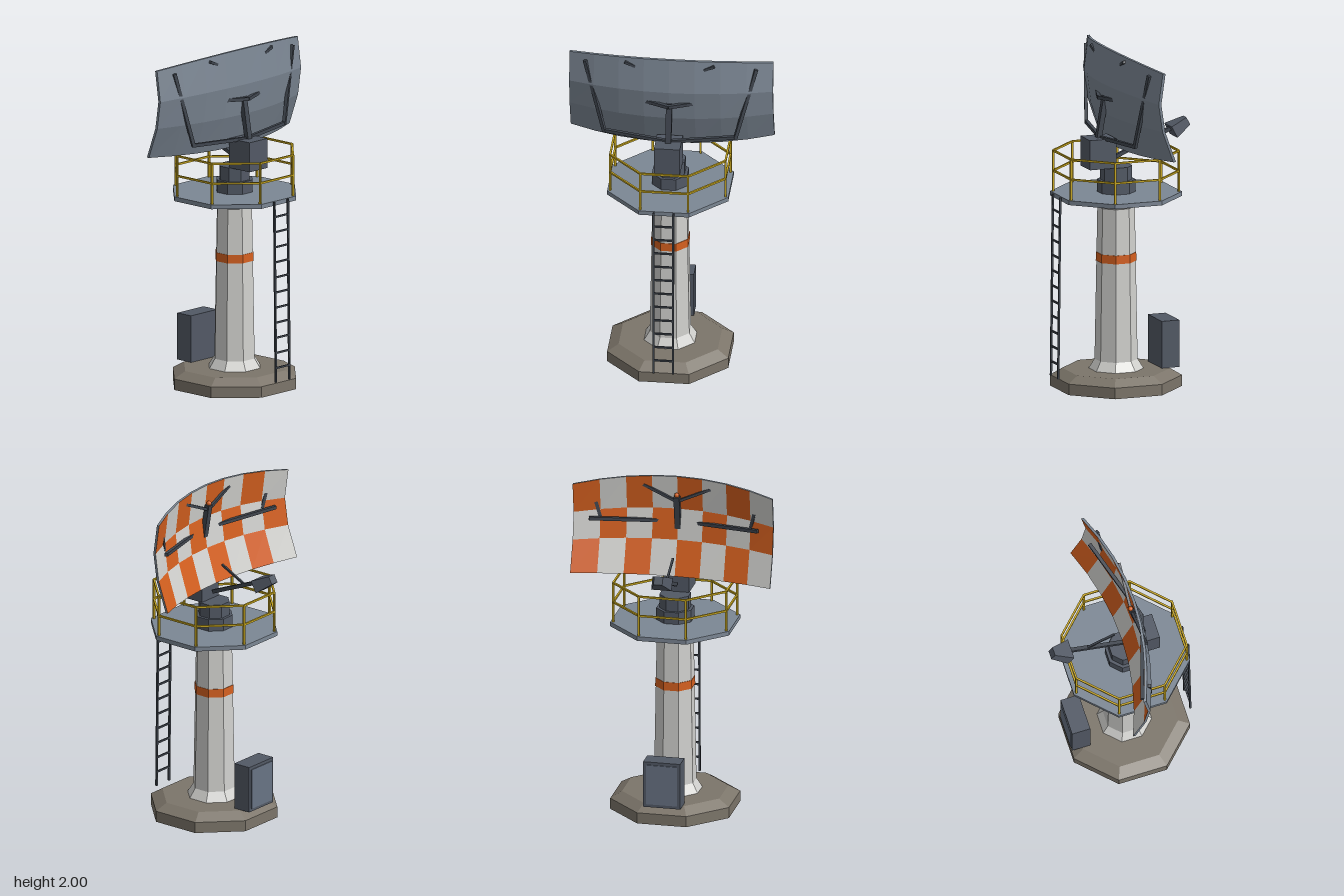
import * as THREE from 'three';

const mat = (name, color) => {
  const m = new THREE.MeshStandardMaterial({ color });
  m.name = name;
  return m;
};

export function createModel() {
  const model = new THREE.Group();
  model.name = 'radarTower';
  const concrete = mat('concrete', 0x7c756a);
  const white = mat('white paint', 0xd2d2cf);
  const orange = mat('orange paint', 0xd5601f);
  const steel = mat('blue grey steel', 0x7c8794);
  const housing = mat('dark housing', 0x525965);
  const frame = mat('dark frame', 0x40464f);
  const yellow = mat('yellow railing', 0xc9a81f);
  const panel = mat('cabinet panel', 0x687384);
  const AXIS = 0.03; // z of the tower axis
  const V = (x, y, z) => new THREE.Vector3(x, y, z);

  const add = (name, geo, material, parent = model) => {
    const mesh = new THREE.Mesh(geo, material);
    mesh.name = name;
    parent.add(mesh);
    return mesh;
  };
  const group = (name) => {
    const g = new THREE.Group();
    g.name = name;
    model.add(g);
    return g;
  };

  // Octagonal frustum, given by its half-widths across flats
  const octagon = (name, y0, y1, r0, r1, material) => {
    const k = 1 / Math.cos(Math.PI / 8);
    const geo = new THREE.CylinderGeometry(r1 * k, r0 * k, y1 - y0, 8).rotateY(Math.PI / 8).toNonIndexed();
    geo.computeVertexNormals();
    add(name, geo, material).position.set(0, (y0 + y1) / 2, AXIS);
  };

  // Square bar between two points
  const bar = (name, a, b, w, material, parent, h = w) => {
    const mesh = add(name, new THREE.BoxGeometry(w, h, a.distanceTo(b)), material, parent);
    mesh.position.copy(a).add(b).multiplyScalar(0.5);
    mesh.lookAt(b);
    return mesh;
  };

  const box = (name, w, h, d, x, y, z, material) =>
    add(name, new THREE.BoxGeometry(w, h, d), material).position.set(x, y, z);

  // Foundation, tower, deck and pedestal
  octagon('foundation', 0, 0.065, 0.352, 0.352, concrete);
  octagon('foundationBevel', 0.065, 0.105, 0.352, 0.288, concrete);
  octagon('towerFoot', 0.105, 0.16, 0.147, 0.115, white);
  octagon('towerShaft', 0.16, 1.06, 0.115, 0.1, white);
  octagon('towerBand', 0.74, 0.79, 0.1085, 0.1075, orange);
  octagon('towerHead', 1.06, 1.125, 0.1, 0.15, white);
  octagon('deck', 1.122, 1.148, 0.352, 0.352, steel);
  octagon('pedestalLower', 1.148, 1.22, 0.103, 0.103, housing);
  octagon('pedestalUpper', 1.22, 1.302, 0.086, 0.086, housing);
  box('driveHousing', 0.15, 0.175, 0.163, 0, 1.388, 0.14, housing);

  // Railing around the deck
  const railing = group('railing');
  const corner = (i, y) => {
    const a = (i + 0.5) * Math.PI / 4, r = 0.335 / Math.cos(Math.PI / 8);
    return V(r * Math.sin(a), y, AXIS + r * Math.cos(a));
  };
  for (let i = 0; i < 8; i++) {
    bar('railPost', corner(i, 1.148), corner(i, 1.39), 0.012, yellow, railing);
    for (const y of [1.27, 1.388]) bar('rail', corner(i, y), corner(i + 1, y), 0.011, yellow, railing);
  }

  // Ladder
  const ladder = group('ladder');
  for (const s of [-1, 1]) bar('ladderRail', V(s * 0.057, 0.08, 0.412), V(s * 0.057, 1.15, 0.4), 0.011, frame, ladder);
  for (let i = 0; i < 11; i++) {
    const y = 0.165 + i * 0.0895, z = 0.412 - (y - 0.08) * 0.0112;
    bar('rung', V(-0.057, y, z), V(0.057, y, z), 0.01, frame, ladder);
  }

  // Equipment cabinet
  box('cabinet', 0.22, 0.277, 0.11, 0, 0.2435, -0.266, housing);
  box('cabinetPanel', 0.185, 0.24, 0.006, 0, 0.2435, -0.323, panel);

  // Curved reflector: rows of [centre y, centre z, rise of y at the ends]
  const rows = [[2.0, 0.08, -0.05], [1.795, 0.106, -0.025], [1.612, 0.082, -0.004], [1.41, 0.015, 0.015]];
  const COLS = 8, HALF = 0.592, T = 0.016;
  const point = (i, j, off) => {
    const u = (i / COLS) * 2 - 1, [y, z, rise] = rows[j];
    return V(u * HALF, y + rise * u * u, z + off - 0.122 * u * u);
  };
  const buckets = [[], [], []]; // steel, orange, white
  const quad = (k, a, b, c, d) => {
    for (const p of [a, b, c, a, c, d]) buckets[k].push(p.x, p.y, p.z);
  };
  for (let j = 0; j < 3; j++) {
    for (let i = 0; i < COLS; i++) {
      const f = (off) => [point(i, j, off), point(i + 1, j, off), point(i + 1, j + 1, off), point(i, j + 1, off)];
      quad((i + j) % 2 ? 1 : 2, ...f(0));
      quad(0, ...f(T).reverse());
    }
    const end = (i) => [point(i, j, 0), point(i, j + 1, 0), point(i, j + 1, T), point(i, j, T)];
    quad(0, ...end(0));
    quad(0, ...end(COLS).reverse());
  }
  for (let i = 0; i < COLS; i++) {
    const edge = (j) => [point(i + 1, j, 0), point(i, j, 0), point(i, j, T), point(i + 1, j, T)];
    quad(0, ...edge(0));
    quad(0, ...edge(3).reverse());
  }
  const dishGeo = new THREE.BufferGeometry();
  dishGeo.setAttribute('position', new THREE.Float32BufferAttribute(buckets.flat(), 3));
  let start = 0;
  buckets.forEach((b, k) => {
    dishGeo.addGroup(start, b.length / 3, k);
    start += b.length / 3;
  });
  dishGeo.computeVertexNormals();
  add('reflector', dishGeo, [steel, orange, white]);

  // Supporting frame of the reflector
  const support = group('reflectorFrame');
  bar('mast', V(0, 1.46, 0.142), V(0, 1.88, 0.07), 0.034, frame, support, 0.03);
  add('beacon', new THREE.SphereGeometry(0.015, 10, 8), orange, support).position.set(0, 1.89, 0.068);
  for (const s of [-1, 1]) {
    bar('lowerBeam', V(0, 1.475, 0.13), V(s * 0.385, 1.487, 0.062), 0.02, frame, support);
    bar('sideBeam', V(s * 0.38, 1.48, 0.065), V(s * 0.497, 1.925, 0.022), 0.02, frame, support);
    bar('middleBeam', V(0, 1.71, 0.137), V(s * 0.5, 1.74, -0.02), 0.02, frame, support);
    bar('topBrace', V(0, 1.85, 0.072), V(s * 0.26, 1.965, 0.082), 0.016, frame, support);
  }

  // Feed arm, its strut and the horn
  const feed = group('feed');
  bar('feedArm', V(0, 1.354, 0.035), V(0, 1.5, -0.32), 0.022, frame, feed);
  bar('feedStrut', V(0, 1.535, 0.03 - 0.06), V(0, 1.455, -0.19), 0.012, frame, feed);
  const hornGeo = new THREE.BoxGeometry(0.12, 0.076, 0.112);
  const p = hornGeo.attributes.position;
  for (let i = 0; i < p.count; i++) {
    if (p.getZ(i) < 0) p.setXY(i, p.getX(i) * 0.43, p.getY(i) * 0.65);
  }
  hornGeo.computeVertexNormals();
  const horn = add('feedHorn', hornGeo, housing, feed);
  horn.position.set(0, 1.507, -0.36);
  horn.rotation.x = 0.5;

  return model;
}
